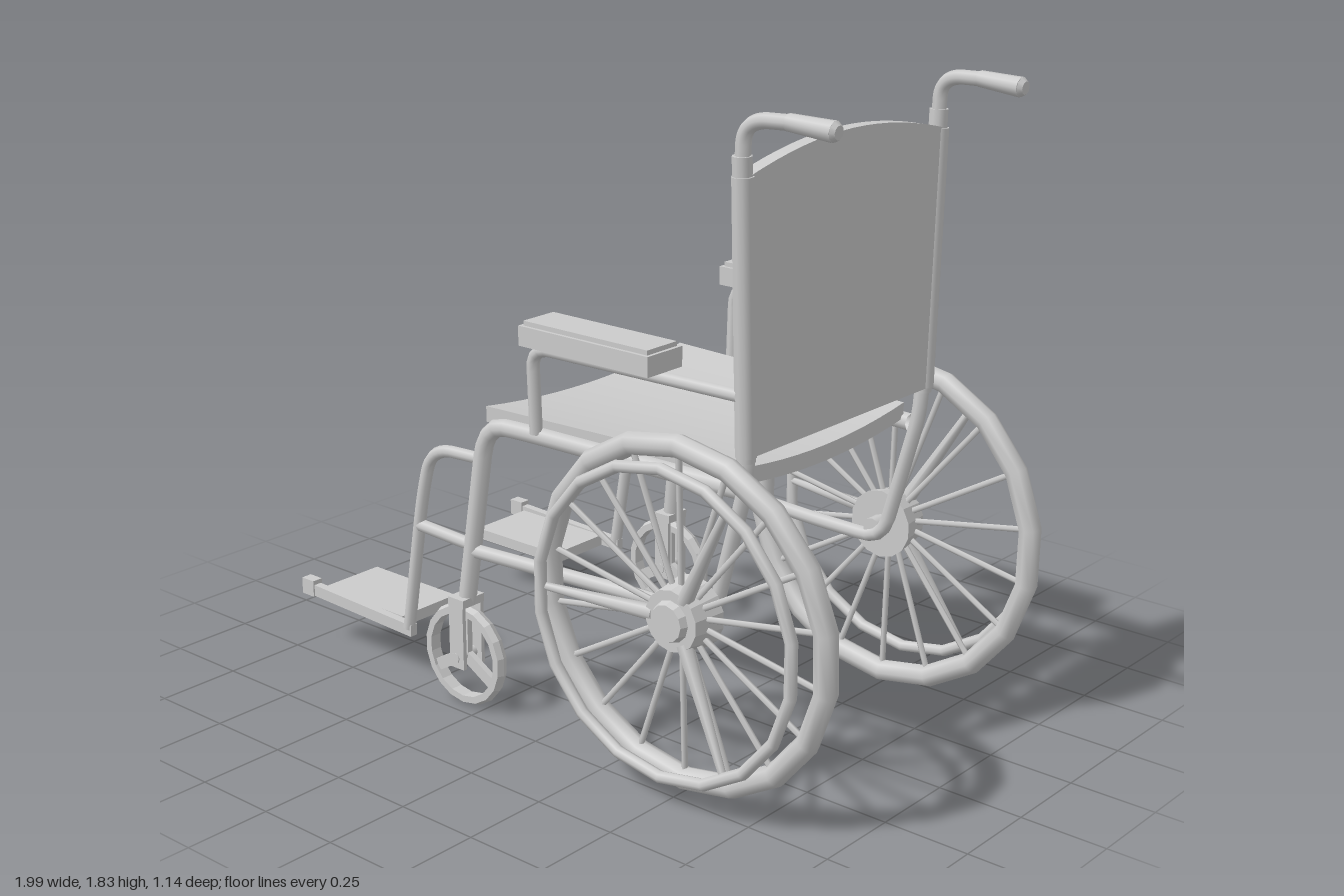
import * as THREE from 'three';

const grey = new THREE.MeshStandardMaterial({ color: 0xcccccc, side: THREE.DoubleSide });
const flat = new THREE.MeshStandardMaterial({ color: 0xcccccc, flatShading: true });
const V = (x, y, z) => new THREE.Vector3(x, y, z);

function add(parent, name, geometry, material = flat) {
  const mesh = new THREE.Mesh(geometry, material);
  mesh.name = name;
  parent.add(mesh);
  return mesh;
}

function box(parent, name, w, h, d, x, y, z) {
  const mesh = add(parent, name, new THREE.BoxGeometry(w, h, d));
  mesh.position.set(x, y, z);
  return mesh;
}

// Capped rod between two points
function rod(parent, name, a, b, r0, r1 = r0, sides = 10, material = grey) {
  const mesh = add(parent, name, new THREE.CylinderGeometry(r1, r0, a.distanceTo(b), sides), material);
  mesh.position.copy(a).lerp(b, 0.5);
  mesh.quaternion.setFromUnitVectors(V(0, 1, 0), b.clone().sub(a).normalize());
  return mesh;
}

// Bent pipe: straight runs joined by rounded corners
function pipe(parent, name, pts, r, bend = 0.07) {
  const path = new THREE.CurvePath();
  let from = pts[0];
  for (let i = 1; i < pts.length - 1; i++) {
    const p = pts[i];
    const toward = (q) => p.clone().add(q.clone().sub(p).setLength(Math.min(bend, p.distanceTo(q) * 0.48)));
    const a = toward(pts[i - 1]), b = toward(pts[i + 1]);
    path.add(new THREE.LineCurve3(from, a));
    path.add(new THREE.QuadraticBezierCurve3(a, p, b));
    from = b;
  }
  path.add(new THREE.LineCurve3(from, pts[pts.length - 1]));
  return add(parent, name, new THREE.TubeGeometry(path, 40, r, 8), grey);
}

// Large wheel, built around its own centre; s points outwards along z
function driveWheel(s) {
  const wheel = new THREE.Group();
  wheel.name = 'driveWheel';
  const tilted = new THREE.Group();
  tilted.name = 'cambered wheel';
  tilted.rotation.x = 0.034 * s;
  wheel.add(tilted);
  const tyre = add(tilted, 'tyre', new THREE.TorusGeometry(0.467, 0.032, 8, 18), grey);
  tyre.rotation.z = Math.PI / 18;
  for (let i = 0; i < 18; i++) {
    const a = ((i + 0.5) / 18) * Math.PI * 2;
    rod(tilted, 'spoke', V(Math.cos(a) * 0.06, Math.sin(a) * 0.06, 0),
      V(Math.cos(a) * 0.45, Math.sin(a) * 0.45, 0), 0.009, 0.009, 5);
  }
  rod(wheel, 'hub', V(0, 0, -0.05 * s), V(0, 0, 0.045 * s), 0.1, 0.085, 14, flat);
  rod(wheel, 'hubCap', V(0, 0, 0.04 * s), V(0, 0, 0.065 * s), 0.06, 0.05, 12, flat);
  // Push rim with its three struts
  const rim = add(wheel, 'pushRim', new THREE.TorusGeometry(0.424, 0.017, 8, 18), grey);
  rim.position.z = 0.086 * s;
  rim.rotation.z = Math.PI / 18;
  for (let i = 0; i < 3; i++) {
    const a = Math.PI + (i * Math.PI * 2) / 3;
    rod(wheel, 'rimStrut', V(Math.cos(a) * 0.07, Math.sin(a) * 0.07, 0.03 * s),
      V(Math.cos(a) * 0.42, Math.sin(a) * 0.42, 0.082 * s), 0.022, 0.01, 6);
  }
  return wheel;
}

// Small front wheel and its fork
function caster(s) {
  const group = new THREE.Group();
  group.name = 'caster';
  const ring = [[0.125, -0.018], [0.145, -0.018], [0.153, 0], [0.145, 0.018], [0.125, 0.018], [0.125, -0.018]];
  const tyre = add(group, 'casterTyre', new THREE.LatheGeometry(ring.map(([r, y]) => new THREE.Vector2(r, y)), 18),
    new THREE.MeshStandardMaterial({ color: 0xcccccc, flatShading: true, side: THREE.DoubleSide }));
  tyre.rotation.x = Math.PI / 2;
  for (let i = 0; i < 3; i++) {
    const a = Math.PI / 2 + (i * Math.PI * 2) / 3;
    const spoke = box(group, 'casterSpoke', 0.13, 0.035, 0.018, Math.cos(a) * 0.065, Math.sin(a) * 0.065, 0);
    spoke.rotation.z = a;
  }
  rod(group, 'casterAxle', V(0, 0, -0.045), V(0, 0, 0.045), 0.016, 0.016, 8);
  for (const side of [-1, 1]) box(group, 'forkPlate', 0.055, 0.21, 0.012, 0.005, 0.075, side * 0.036);
  box(group, 'forkCrown', 0.06, 0.025, 0.084, 0.005, 0.17, 0);
  group.position.set(-0.32, 0.158, 0.447 * s);
  return group;
}

// Everything that occurs once on each side
function sideAssembly(s) {
  const g = new THREE.Group();
  g.name = s > 0 ? 'left side' : 'right side';
  const P = (x, y, z) => V(x, y, z * s);

  const wheel = driveWheel(s);
  wheel.position.set(0.497, 0.507, 0.466 * s);
  g.add(wheel, caster(s));

  // Frame pipes
  pipe(g, 'seatRailAndFrontLeg', [P(0.62, 0.85, 0.37), P(-0.1, 0.86, 0.41), P(-0.24, 0.86, 0.425), P(-0.31, 0.32, 0.447)], 0.026, 0.1);
  pipe(g, 'backPostAndLowerRail', [P(0.64, 1.0, 0.39), P(0.64, 0.88, 0.385), P(0.53, 0.48, 0.38),
    P(0.3, 0.48, 0.385), P(-0.28, 0.48, 0.44)], 0.021);
  rod(g, 'axle', P(0.5, 0.507, 0.37), P(0.5, 0.507, 0.46), 0.03);
  rod(g, 'backPost', P(0.64, 0.94, 0.39), P(0.64, 1.72, 0.42), 0.026);

  // Push handle and grip
  pipe(g, 'pushHandle', [P(0.64, 1.68, 0.419), P(0.645, 1.81, 0.419), P(0.8, 1.815, 0.41)], 0.02, 0.09);
  rod(g, 'grip', P(0.77, 1.815, 0.411), P(0.9, 1.807, 0.405), 0.022, 0.027);
  rod(g, 'gripEnd', P(0.9, 1.807, 0.405), P(0.912, 1.806, 0.405), 0.027, 0.018);

  // Armrest
  pipe(g, 'armrestPipe', [P(0.63, 1.115, 0.41), P(-0.055, 1.115, 0.43), P(-0.055, 0.87, 0.42)], 0.018, 0.06);
  box(g, 'armrestBase', 0.45, 0.055, 0.135, 0.175, 1.16, 0.42 * s);
  box(g, 'armrestPad', 0.43, 0.015, 0.115, 0.175, 1.193, 0.42 * s);

  // Footrest
  pipe(g, 'footrestHanger', [P(-0.25, 0.755, 0.43), P(-0.435, 0.755, 0.448), P(-0.475, 0.6, 0.452), P(-0.548, 0.175, 0.452)], 0.018, 0.08);
  rod(g, 'hangerCrossbar', P(-0.49, 0.51, 0.452), P(-0.28, 0.495, 0.442), 0.019, 0.019, 8);
  const bar = box(g, 'footBar', 0.43, 0.035, 0.025, -0.745, 0.179, 0.452 * s);
  bar.rotation.z = -0.035;
  box(g, 'footBarTip', 0.05, 0.05, 0.034, -0.975, 0.192, 0.452 * s);
  box(g, 'footPlate', 0.345, 0.034, 0.215, -0.767, 0.175, 0.328 * s);
  return g;
}

export function createModel() {
  const chair = new THREE.Group();
  chair.name = 'wheelchair';
  chair.add(sideAssembly(1), sideAssembly(-1));

  // Sling seat: narrower at the back and sagging in the middle
  const seatGeo = new THREE.BoxGeometry(0.85, 0.045, 2, 1, 1, 12);
  const p = seatGeo.attributes.position;
  for (let i = 0; i < p.count; i++) {
    const x = p.getX(i), t = p.getZ(i);
    p.setY(i, p.getY(i) + 0.03 * t * t);
    p.setZ(i, t * (0.388 - x * 0.06));
  }
  seatGeo.computeVertexNormals();
  add(chair, 'seat', seatGeo, grey).position.set(0.175, 0.853, 0);

  // Backrest panel with an arched top edge, sleeved over the posts
  const back = new THREE.Shape();
  back.moveTo(-0.4, 0.955);
  back.lineTo(0.4, 0.955);
  back.lineTo(0.425, 1.67);
  back.quadraticCurveTo(0.2, 1.73, 0, 1.73);
  back.quadraticCurveTo(-0.2, 1.73, -0.425, 1.67);
  const panel = add(chair, 'backrest', new THREE.ExtrudeGeometry(back, { depth: 0.04, bevelEnabled: false, curveSegments: 8 }));
  panel.rotation.y = Math.PI / 2;
  panel.position.x = 0.622;
  for (const s of [-1, 1]) {
    rod(chair, 'backrestSleeve', V(0.642, 0.955, 0.392 * s), V(0.642, 1.67, 0.419 * s), 0.029);
  }
  return chair;
}
